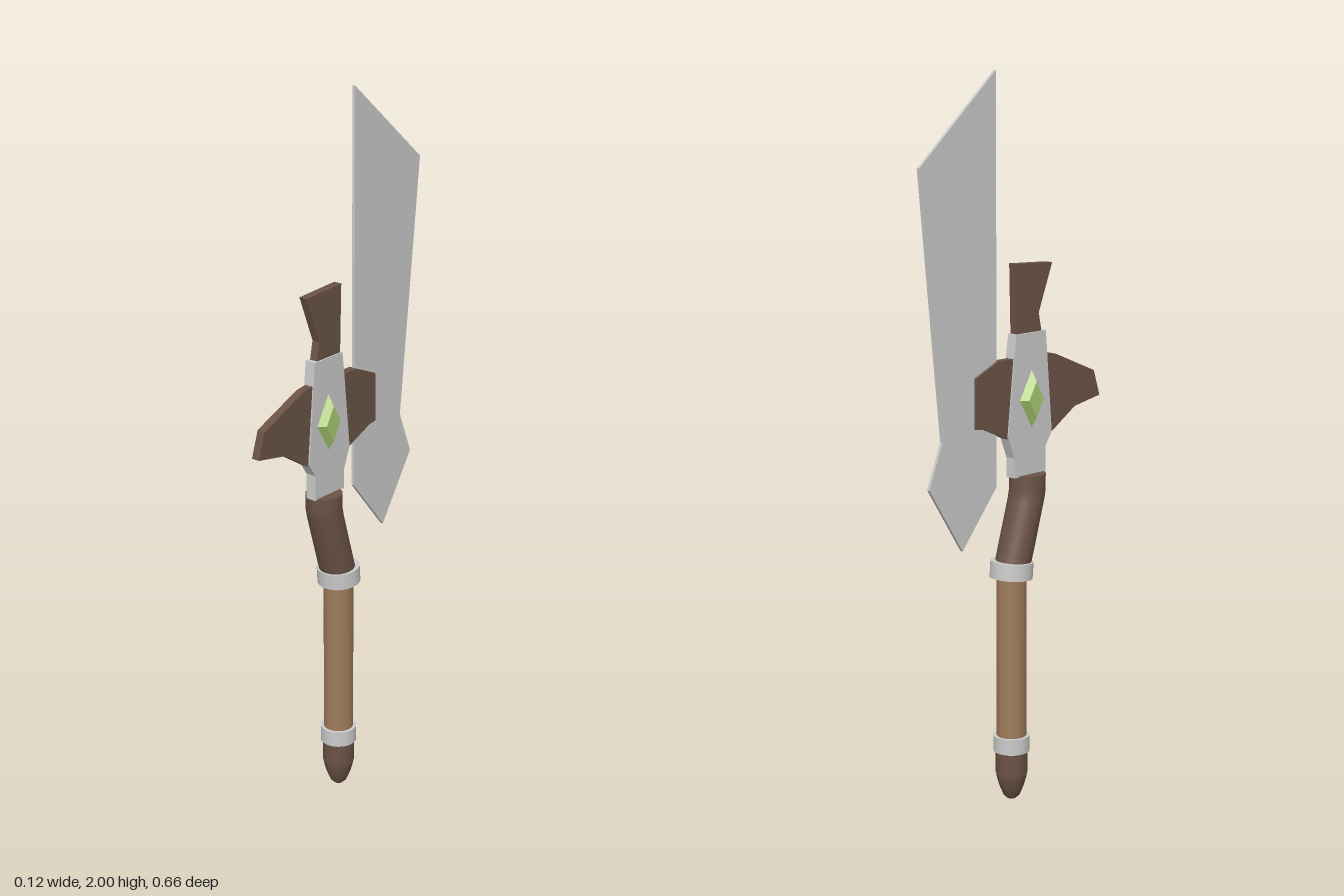
import * as THREE from 'three';

const mat = (color, flatShading = true) => new THREE.MeshStandardMaterial({ color, flatShading });
const grey = mat(0xcccccc), greyRound = mat(0xcccccc, false);
const wood = mat(0x6b5346), woodRound = mat(0x6b5346, false);
const leather = mat(0xa07c5a, false), green = mat(0xaacb72);

export function createModel() {
  const root = new THREE.Group();

  const add = (name, geometry, material) => {
    const mesh = new THREE.Mesh(geometry, material);
    mesh.name = name;
    root.add(mesh);
    return mesh;
  };

  // Flat plate from a (z, y) outline, centred on x = 0
  const plate = (name, outline, thickness, material) => {
    const shape = new THREE.Shape(outline.map(([z, y]) => new THREE.Vector2(z, y)));
    const geo = new THREE.ExtrudeGeometry(shape, { depth: thickness, bevelEnabled: false });
    geo.translate(0, 0, -thickness / 2).rotateY(-Math.PI / 2);
    return add(name, geo, material);
  };

  // Upright cylinder between two heights
  const post = (name, radius, y0, y1, material) => {
    const mesh = add(name, new THREE.CylinderGeometry(radius, radius, y1 - y0, 28), material);
    mesh.position.y = (y0 + y1) / 2;
    return mesh;
  };

  // Handle: rounded pommel, grip and two collars
  const pommel = [[0, 0], [0.013, 0.003], [0.023, 0.013], [0.034, 0.04], [0.041, 0.065], [0.044, 0.08], [0.044, 0.15]]
    .map(([r, y]) => new THREE.Vector2(r, y));
  add('pommel', new THREE.LatheGeometry(pommel, 28), woodRound);
  post('grip', 0.041, 0.14, 0.67, leather);
  post('lowerCollar', 0.05, 0.142, 0.187, greyRound);
  post('upperCollar', 0.059, 0.637, 0.683, greyRound).rotation.x = 0.08;

  // Bent neck: a cylinder whose rings slide forward, then rise straight
  const neck = new THREE.CylinderGeometry(0.05, 0.05, 0.255, 28, 3);
  const rings = [[0.665, 0.002], [0.85, 0.055], [0.875, 0.06], [0.918, 0.06]];
  const p = neck.attributes.position;
  for (let i = 0; i < p.count; i++) {
    const [y, z] = rings[Math.round((p.getY(i) / 0.255 + 0.5) * 3)];
    p.setY(i, y);
    p.setZ(i, p.getZ(i) + z);
  }
  neck.computeVertexNormals();
  add('neck', neck, woodRound);

  // Guard plate and the wooden pieces set into it
  plate('guard', [[0.113, 0.915], [0.113, 0.987], [0.137, 1.025], [0.113, 1.305], [0.003, 1.305],
    [-0.003, 1.26], [-0.027, 1.03], [-0.004, 0.97], [-0.004, 0.915]], 0.032, grey);
  plate('topSpur', [[0.1, 1.29], [0.1, 1.305], [0.09, 1.355], [0.14, 1.485], [0.003, 1.493], [0.008, 1.29]], 0.024, wood);
  plate('frontSpur', [[0.09, 1.02], [0.137, 1.02], [0.23, 1.08], [0.328, 1.098], [0.305, 1.17],
    [0.155, 1.235], [0.12, 1.24], [0.09, 1.24]], 0.024, wood);
  plate('backFin', [[0.02, 1.24], [-0.06, 1.24], [-0.14, 1.205], [-0.14, 1.068], [-0.115, 1.065],
    [-0.025, 1.025], [0.02, 1.025]], 0.024, wood);

  // Blade
  plate('blade', [[-0.06, 2], [-0.328, 1.765], [-0.255, 1.05], [-0.302, 0.93], [-0.185, 0.745], [-0.06, 0.9]], 0.009, grey);

  // Faceted gem on each side of the guard
  for (const side of [1, -1]) {
    const geo = new THREE.CylinderGeometry(0.62, 1, 0.02, 4);
    geo.rotateZ(-side * Math.PI / 2).scale(1, 0.08, 0.045);
    const gem = add(side > 0 ? 'leftGem' : 'rightGem', geo, green);
    gem.position.set(side * 0.025, 1.125, 0.06);
  }

  return root;
}
